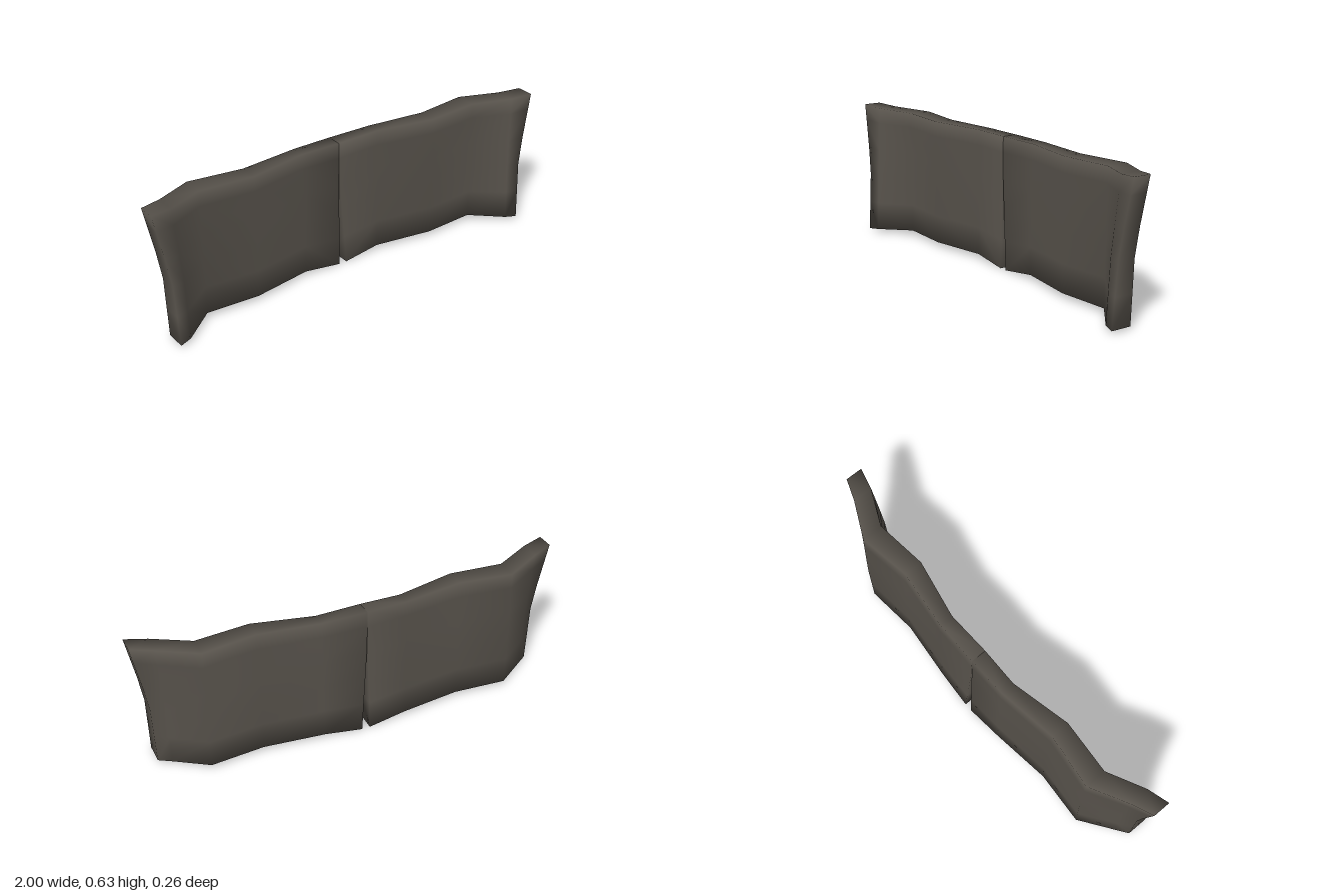
import * as THREE from 'three';

const fabric = new THREE.MeshStandardMaterial({ color: 0x57524b });
fabric.name = 'dark grey brown fabric';

// Cross-sections from the centre seam to the outer end:
// [x, bottom y, top y, front z bottom/middle/top, back z bottom/middle/top]
const columns = [
  [0.00, 0.004, 0.615, -0.025, -0.030, -0.035, -0.130, -0.118, -0.108],
  [0.20, 0.027, 0.615, -0.030, -0.030, -0.040, -0.120, -0.116, -0.105],
  [0.48, 0.027, 0.618, 0.015, 0.020, 0.018, -0.088, -0.092, -0.070],
  [0.73, 0.027, 0.618, 0.000, -0.002, -0.005, -0.108, -0.114, -0.105],
  [0.90, 0.021, 0.628, 0.115, 0.100, 0.075, -0.005, -0.010, -0.020],
  [1.00, 0.016, 0.638, 0.132, 0.112, 0.100, 0.035, 0.030, 0.018],
];
const rows = [0, 0.22, 0.45, 0.66, 0.88, 1];
const lerp = THREE.MathUtils.lerp;
const blend = (a, b, c, t) => (t < 0.5 ? lerp(a, b, t * 2) : lerp(b, c, t * 2 - 1));

// One closed padded panel; side is +1 or -1
function makePanel(side) {
  const nc = columns.length, nr = rows.length, pos = [], index = [];
  for (const back of [0, 1]) {
    for (const t of rows) {
      columns.forEach(([x, y0, y1, f0, f1, f2, b0, b1, b2], i) => {
        // the outer end flares at the top, the seam opens at the bottom
        let px = x * side;
        if (i === nc - 1) px = side * blend(0.93, 0.939, 1.0, t);
        if (i === nc - 2) px = side * blend(0.875, 0.88, 0.9, t);
        if (i === 0) px = side > 0 ? lerp(0.02, -0.012, Math.min(1, t * 1.3)) : lerp(-0.018, -0.013, t);
        const z = back ? blend(b0, b1, b2, t) : blend(f0, f1, f2, t);
        pos.push(px, lerp(y0, y1, t), z);
      });
    }
  }
  const id = (i, j, back) => back * nc * nr + j * nc + i;
  const quad = (a, b, c, d) => (side > 0
    ? index.push(a, b, c, a, c, d)
    : index.push(a, c, b, a, d, c));
  // front and back faces
  for (let j = 0; j < nr - 1; j++) {
    for (let i = 0; i < nc - 1; i++) {
      quad(id(i, j, 0), id(i + 1, j, 0), id(i + 1, j + 1, 0), id(i, j + 1, 0));
      quad(id(i + 1, j, 1), id(i, j, 1), id(i, j + 1, 1), id(i + 1, j + 1, 1));
    }
    // seam wall and outer end
    const e = nc - 1;
    quad(id(0, j, 1), id(0, j, 0), id(0, j + 1, 0), id(0, j + 1, 1));
    quad(id(e, j, 0), id(e, j, 1), id(e, j + 1, 1), id(e, j + 1, 0));
  }
  // top and bottom edges
  for (let i = 0; i < nc - 1; i++) {
    const t = nr - 1;
    quad(id(i, t, 0), id(i + 1, t, 0), id(i + 1, t, 1), id(i, t, 1));
    quad(id(i, 0, 1), id(i + 1, 0, 1), id(i + 1, 0, 0), id(i, 0, 0));
  }
  const geometry = new THREE.BufferGeometry();
  geometry.setAttribute('position', new THREE.Float32BufferAttribute(pos, 3));
  geometry.setIndex(index);
  geometry.computeVertexNormals();
  const mesh = new THREE.Mesh(geometry, fabric);
  mesh.name = side > 0 ? 'leftPanel' : 'rightPanel';
  return mesh;
}

export function createModel() {
  const model = new THREE.Group();
  model.name = 'paddedPanels';
  for (const side of [1, -1]) model.add(makePanel(side));
  return model;
}
